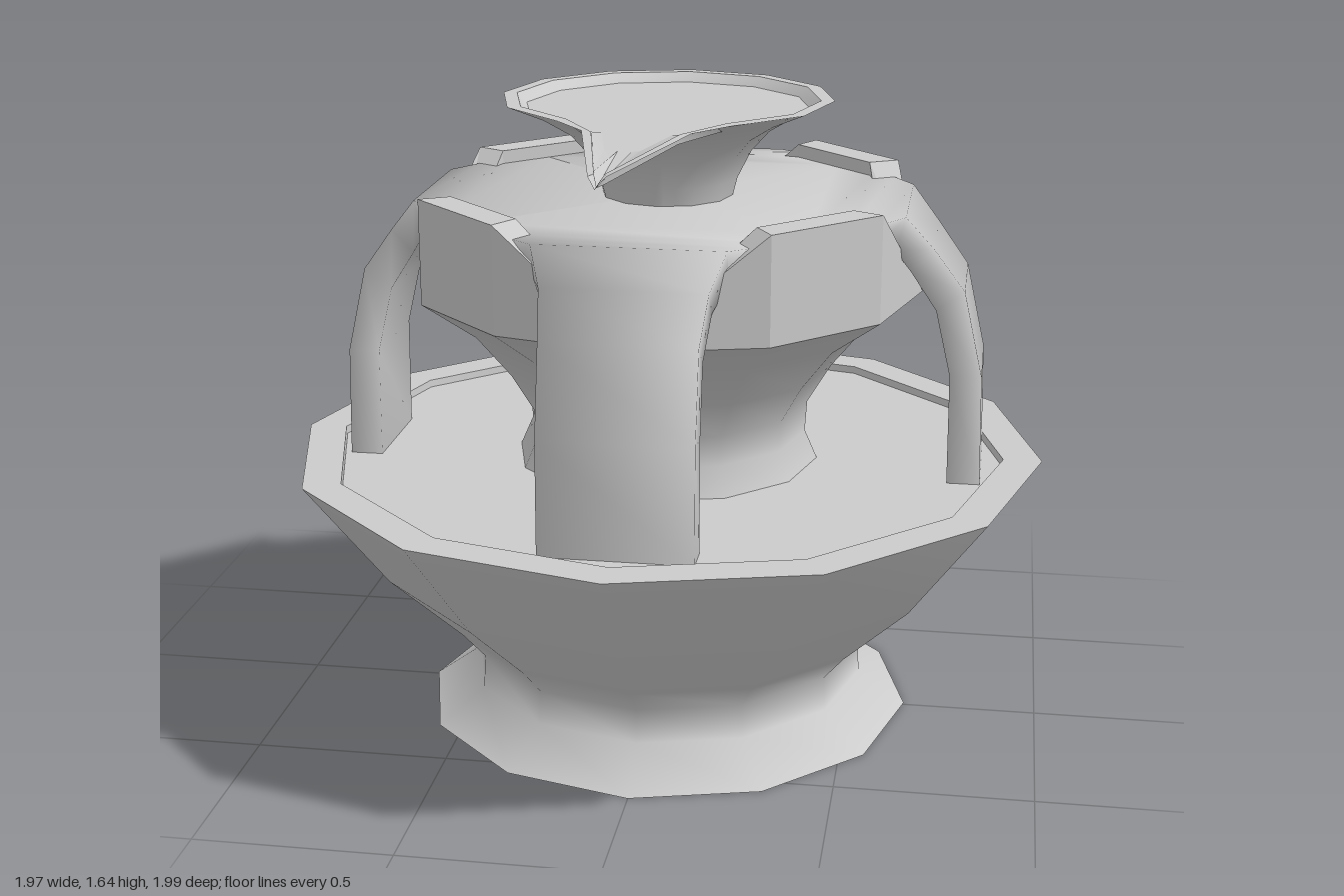
import * as THREE from 'three';
import { toCreasedNormals } from 'three/addons/utils/BufferGeometryUtils.js';

const material = new THREE.MeshStandardMaterial({ color: 0xcccccc, side: THREE.DoubleSide });
const SIDES = 12;

function part(name, geometry, parent) {
  const mesh = new THREE.Mesh(geometry, material);
  mesh.name = name;
  parent.add(mesh);
  return mesh;
}

const lathe = (points) =>
  new THREE.LatheGeometry(points.map(([r, y]) => new THREE.Vector2(r, y)), SIDES);

// Skin joining closed cross-sections, each a list of [x, y, z]
function loft(rows, crease) {
  const n = rows[0].length;
  const index = [];
  for (let i = 0; i < rows.length - 1; i++) {
    for (let j = 0; j < n; j++) {
      const a = i * n + j, b = i * n + (j + 1) % n;
      index.push(a, b, b + n, a, b + n, a + n);
    }
  }
  const geometry = new THREE.BufferGeometry();
  geometry.setAttribute('position', new THREE.Float32BufferAttribute(rows.flat(2), 3));
  geometry.setIndex(index);
  return toCreasedNormals(geometry, crease);
}

// Parapet panel covering one quarter, sloping down to both ends
function panelGeometry() {
  const rows = [[0, 1.16], [30, 1.43], [60, 1.43], [90, 1.16]].map(([deg, top]) => {
    const s = Math.sin(deg * Math.PI / 180), c = Math.cos(deg * Math.PI / 180);
    return [[0.66, 1.16], [0.66, top], [0.575, top], [0.575, 1.16]]
      .map(([r, y]) => [r * s, y, r * c]);
  });
  return loft(rows, 0.2);
}

// One quarter of the upper water, running out over the edge and down into the bowl
function fallGeometry(w, reach) {
  const path = [ // outer r, y, inner r, y, half width
    [0, 1.395, 0, 1.395, 0],
    [0.4, 1.395, 0.4, 1.395, 0.4],
    [0.5, 1.395, 0.5, 1.34, 0.295],
    [0.56, 1.395, 0.55, 1.335, 0.285],
    [0.62, 1.395, 0.595, 1.31, w + 0.045],
    [0.69, 1.31, 0.635, 1.25, w + 0.012],
    [0.77, 1.2, 0.7, 1.15, w],
    [0.82, 0.98, 0.74, 0.98, w],
    [0.827, 0.69, 0.743, 0.69, w],
  ];
  return loft(path.map(([ro, yo, ri, yi, h]) => {
    const k = ro > 0.6 ? reach : 1;
    return [[-h, yo, ro * k], [h, yo, ro * k], [h, yi, ri * k], [-h, yi, ri * k]];
  }), 2);
}

// Round cup whose rim is drawn out into a long narrow spout at +z
function cupGeometry() {
  const angles = [0, 5, 15, 30, 60, 90, 120, 150, 180, 210, 240, 270, 300, 330, 345, 355];
  const ring = (r, y, spout) => angles.map((deg) => {
    const a = deg * Math.PI / 180;
    const side = deg < 180 ? 1 : -1;
    if (spout && deg === 0) return [0, spout.tipY, spout.tip];
    if (spout && Math.cos(a) > 0.99) return [side * spout.endX, y, spout.endZ];
    if (spout && Math.cos(a) > 0.96) return [side * spout.x, y, spout.z];
    // Points between the twelve corners stay on the straight edge
    const k = Math.cos(Math.PI / 12) / Math.cos((deg % 30 - 15) * Math.PI / 180);
    return [r * k * Math.sin(a), y, r * k * Math.cos(a)];
  });
  const outer = { x: 0.13, z: 0.48, endX: 0.02, endZ: 0.98, tip: 1.008, tipY: 1.62 };
  const inner = { x: 0.105, z: 0.49, endX: 0.012, endZ: 0.95, tip: 0.985, tipY: 1.622 };
  const floor = { x: 0.1, z: 0.49, endX: 0.01, endZ: 0.945, tip: 0.98, tipY: 1.618 };
  return loft([
    ring(0.165, 1.38), ring(0.18, 1.44), ring(0.215, 1.51), ring(0.26, 1.56), ring(0.33, 1.602),
    ring(0.425, 1.642, outer), ring(0.39, 1.642, inner), ring(0.365, 1.618, floor),
    angles.map(() => [0, 1.618, 0.05]),
  ], 0.7);
}

export function createModel() {
  const model = new THREE.Group();
  model.name = 'fountain';
  const body = new THREE.Group();
  body.name = 'fountainBody';
  body.position.z = -0.01;
  model.add(body);

  // Flared foot and wide bowl
  part('bowl', lathe([[0.65, 0], [0.525, 0.09], [0.52, 0.18], [0.58, 0.25], [0.77, 0.43], [0.985, 0.715]]), body);
  part('bowlRim', lathe([[0.985, 0.715], [0.885, 0.715]]), body);
  part('bowlInnerWall', lathe([[0.885, 0.715], [0.875, 0.59]]), body);
  part('bowlFloor', lathe([[0.875, 0.59], [0, 0.59]]), body);
  part('bowlWater', lathe([[0.883, 0.695], [0, 0.695]]), body);

  // Waisted pedestal opening into the upper basin
  part('pedestal', lathe([[0.4, 0.69], [0.365, 0.77], [0.37, 0.85], [0.43, 0.95], [0.52, 1.06], [0.66, 1.16]]), body);

  // Four parapet panels with a waterfall in each gap
  const panel = panelGeometry();
  const wideFall = fallGeometry(0.187, 0.97);
  const sideFall = fallGeometry(0.148, 1);
  for (let i = 0; i < 4; i++) {
    part('parapetPanel', panel, body).rotation.y = i * Math.PI / 2;
    part('waterfall', i % 2 ? sideFall : wideFall, body).rotation.y = i * Math.PI / 2;
  }

  // Spouted cup on top
  part('spoutedCup', cupGeometry(), body);
  return model;
}
